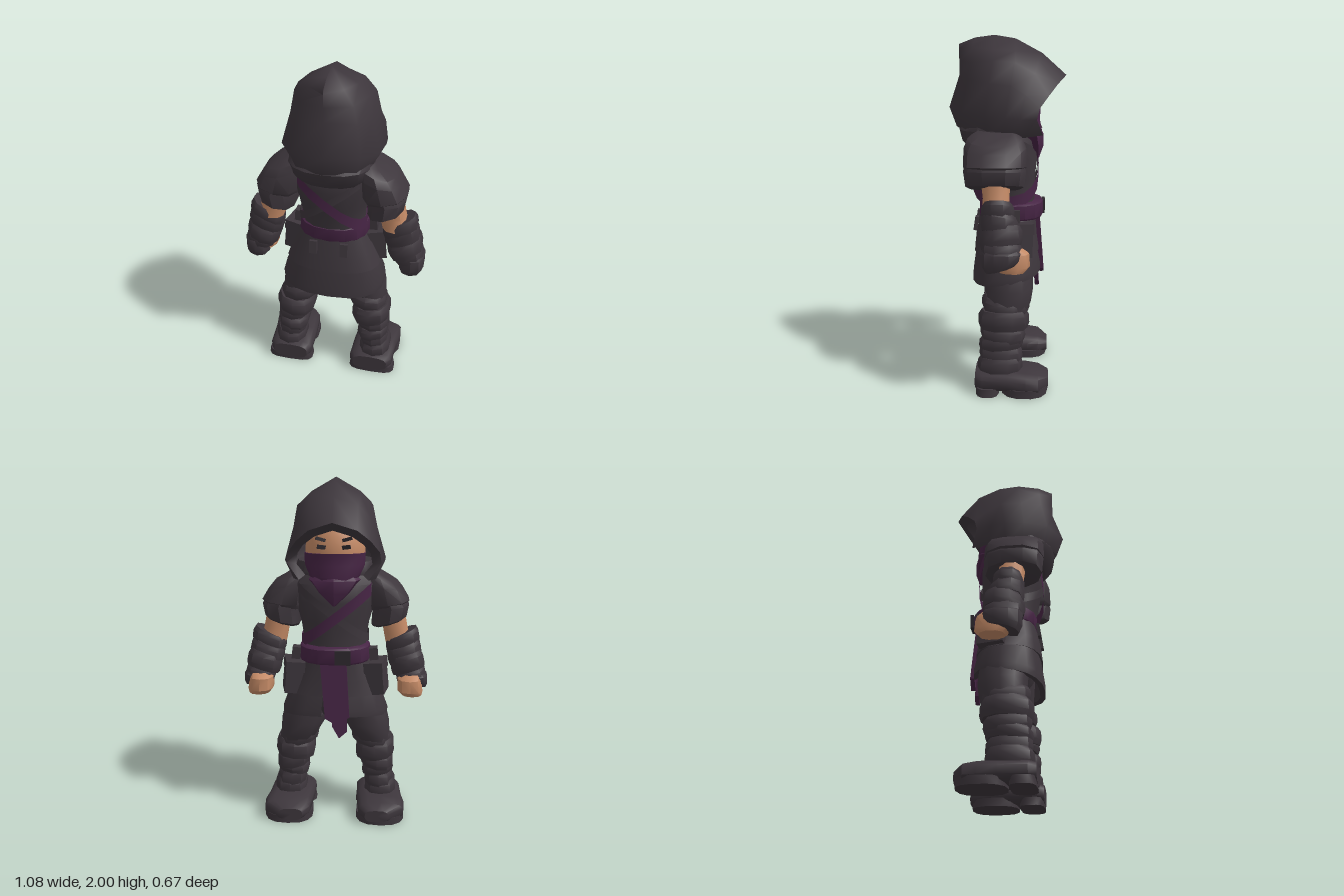
import * as THREE from 'three';
import { toCreasedNormals } from 'three/addons/utils/BufferGeometryUtils.js';

const mat = (name, color) => {
  const m = new THREE.MeshStandardMaterial({ color, side: THREE.DoubleSide });
  m.name = name;
  return m;
};

// Surface through rows of points, given as [x, y, z]
function grid(rows) {
  const n = rows[0].length, idx = [];
  for (let i = 0; i < rows.length - 1; i++)
    for (let j = 0; j < n - 1; j++) {
      const a = i * n + j, b = a + n;
      idx.push(a, b, a + 1, a + 1, b, b + 1);
    }
  const g = new THREE.BufferGeometry();
  g.setAttribute('position', new THREE.Float32BufferAttribute(rows.flat(2), 3));
  g.setIndex(idx);
  return g;
}

// Rings [x, y, z, rx, rz, tiltX, tiltZ] from bottom to top; gap leaves the front (-z) open
function loft(rings, { n = 12, e = 0.85, gap = 0, caps = true } = {}) {
  const pw = v => Math.sign(v) * Math.abs(v) ** e;
  const row = ([x, y, z, rx, rz, tx = 0, tz = 0], k = 1) =>
    Array.from({ length: n + 1 }, (_, j) => {
      const a = -Math.PI / 2 + gap + (j / n) * (2 * Math.PI - 2 * gap);
      const c = pw(Math.cos(a)) * k, s = pw(Math.sin(a)) * k;
      return [x + rx * c, y + tx * c + tz * s, z + rz * s];
    });
  const rows = rings.map(r => row(r));
  if (caps) {
    rows.unshift(row(rings[0], 0));
    rows.push(row(rings[rings.length - 1], 0));
  }
  return grid(rows);
}

// One bulging turn of cloth; dx shifts its top sideways
const wrap = (y0, y1, x, z, rx, rz, tx = 0, tz = 0, dx = 0) => loft([
  [x, y0, z, rx * 0.93, rz * 0.93, tx, tz],
  [x + dx * 0.3, y0 + (y1 - y0) * 0.3, z, rx, rz, tx, tz],
  [x + dx * 0.75, y0 + (y1 - y0) * 0.75, z, rx * 0.98, rz * 0.98, tx, tz],
  [x + dx, y1, z, rx * 0.86, rz * 0.86, tx, tz],
], { n: 10 });

const box = (w, h, d, x, y, z, rx = 0, ry = 0, rz = 0) =>
  new THREE.BoxGeometry(w, h, d).rotateX(rx).rotateY(ry).rotateZ(rz).translate(x, y, z);

// Hanging cloth strip whose top leans back towards the body
const strip = (pts, z, depth) => new THREE.ExtrudeGeometry(
  new THREE.Shape(pts.map(p => new THREE.Vector2(...p))), { depth, bevelEnabled: false }).rotateX(0.08).translate(0, 0, z);

export function createModel() {
  const model = new THREE.Group();
  const cloth = mat('charcoal cloth', 0x3d363c);
  const purple = mat('dark purple cloth', 0x472545);
  const skin = mat('skin', 0xc48a66);
  const dark = mat('dark leather', 0x2e292e);

  const add = (name, geo, m, crease = 0.75) => {
    const mesh = new THREE.Mesh(toCreasedNormals(geo, crease), m);
    mesh.name = name;
    model.add(mesh);
  };
  const both = (name, geo, m, crease) => {
    const other = geo.clone().scale(-1, 1, 1);
    other.index.array.reverse();
    add(name + 'Left', geo, m, crease);
    add(name + 'Right', other, m, crease);
  };

  // Hood: arches from the inner rim over the crown to the back seam
  const arches = [
    [[0, 1.735, -.28], [.1, 1.7, -.24], [.165, 1.65, -.2], [.2, 1.6, -.16], [.21, 1.54, -.14], [.16, 1.48, -.15]],
    [[0, 1.78, -.335], [.13, 1.735, -.285], [.2, 1.675, -.235], [.25, 1.61, -.185], [.26, 1.55, -.17], [.19, 1.46, -.205]],
    [[0, 1.9, -.2], [.13, 1.86, -.18], [.2, 1.79, -.16], [.24, 1.68, -.11], [.28, 1.55, -.08], [.23, 1.45, -.1]],
    [[0, 1.98, -.05], [.14, 1.91, -.05], [.21, 1.85, -.05], [.235, 1.73, -.03], [.285, 1.56, 0], [.23, 1.45, 0]],
    [[0, 2, .07], [.14, 1.92, .07], [.2, 1.86, .07], [.22, 1.74, .09], [.27, 1.56, .11], [.22, 1.46, .1]],
    [[0, 1.985, .18], [.09, 1.93, .19], [.14, 1.85, .2], [.16, 1.76, .21], [.19, 1.58, .245], [.16, 1.47, .22]],
    [[0, 1.95, .27], [0, 1.93, .27], [0, 1.86, .27], [0, 1.78, .27], [0, 1.6, .33], [0, 1.49, .29]],
  ];
  const arch = a => [...a.slice(1).reverse().map(([x, y, z]) => [-x, y, z]), ...a];
  add('hood', grid(arches.map(arch).reverse()), cloth, 1.45);
  add('cowl', loft([[0, 1.37, .06, .19, .155], [0, 1.42, .07, .225, .19], [0, 1.48, .07, .24, .205],
    [0, 1.54, .06, .22, .17]], { n: 16 }), cloth);

  // Face, mask and pointed scarf
  add('head', new THREE.SphereGeometry(1, 16, 12).scale(.17, .22, .155).translate(0, 1.6, -.03), skin, 1.2);
  add('mask', loft([[0, 1.4, -.08, .09, .11], [0, 1.47, -.05, .15, .15], [0, 1.53, -.03, .172, .158],
    [0, 1.59, -.03, .175, .162, 0, -.01]], { n: 14 }), purple);
  add('scarf', loft([[0, 1.31, -.165, .01, .02], [0, 1.38, -.1, .1, .11], [0, 1.45, -.06, .165, .15],
    [0, 1.48, -.06, .13, .13]], { n: 8 }), purple);
  both('eye', box(.055, .022, .008, .065, 1.635, -.176, 0, .3, .15), dark);
  both('brow', box(.075, .018, .008, .065, 1.675, -.17, .2, .3, .3), dark);

  // Torso with crossing straps
  add('torso', loft([[0, .93, -.01, .18, .16], [0, 1.1, 0, .183, .16], [0, 1.2, .01, .2, .175],
    [0, 1.32, .015, .235, .185], [0, 1.42, .02, .255, .175], [0, 1.5, .02, .2, .13]], { n: 14 }), cloth);
  const strap = (x, y, tilt, h, rz) => loft([[x, y - h, .01, .212, rz, tilt], [x, y + h, .01, .212, rz, tilt]],
    { n: 18, e: 0.8, caps: false });
  add('chestStrap', strap(-.015, 1.245, -.165, .036, .194), purple);
  add('crossStrap', strap(.015, 1.26, .16, .026, .188), cloth);

  // Belt, buckle, pouches and hanging sash
  add('belt', loft([[0, .975, -.025, .2, .18], [0, .985, -.025, .208, .187], [0, 1.06, -.025, .203, .185],
    [0, 1.07, -.025, .19, .175]], { n: 16 }), purple);
  add('beltBuckle', box(.09, .08, .02, -.05, 1.02, -.212), dark);
  both('pouch', box(.1, .17, .15, .245, .87, -.07, 0, .2, .1), cloth);
  both('pouchFlap', box(.11, .06, .165, .237, .945, -.07, 0, .2, .1), cloth);
  both('pouchLoop', box(.05, .09, .06, .225, 1, -.05, 0, 0, .1), cloth);
  both('backLoop', box(.045, .08, .02, .09, .94, .175, -.15), cloth);
  add('sash', strip([[-.07, 1], [-.09, .67], [-.02, .62], [.05, .66], [.08, 1]], -.27, .025), purple);
  add('sashTail', strip([[-.08, .8], [-.075, .57], [-.03, .53], [.01, .6], [.03, .8]], -.235, .025), purple);

  // Coat skirt in two tiers, open at the front
  const skirt = { n: 18, e: 0.8, caps: false, gap: 0.16 };
  add('upperSkirt', loft([[0, .785, 0, .27, .18], [0, .78, 0, .283, .19], [0, .87, 0, .245, .18],
    [0, .99, -.01, .19, .165]], skirt), cloth);
  add('lowerSkirt', loft([[0, .64, 0, .27, .17, 0, -.035], [0, .632, 0, .31, .2, 0, -.03],
    [0, .67, 0, .312, .2, 0, -.025], [0, .81, 0, .262, .176]], skirt), cloth);
  add('hips', loft([[0, .62, 0, .08, .1], [0, .7, 0, .22, .14], [0, .95, 0, .18, .14]]), cloth);

  // Arms: layered sleeve, bare elbow, wrapped forearm, half-gloved fist
  both('sleeve', loft([[.305, 1.18, .055, .09, .135, .025], [.31, 1.195, .055, .105, .16, .025],
    [.32, 1.28, .055, .108, .17, .01], [.295, 1.35, .055, .1, .155]], { n: 10 }), cloth);
  both('shoulderPad', loft([[.3, 1.28, .055, .12, .155, .02], [.3, 1.3, .055, .13, .172, .015],
    [.275, 1.4, .055, .118, .17, -.025], [.255, 1.45, .055, .105, .15, -.035], [.23, 1.485, .055, .06, .1, -.03]],
  { n: 10 }), cloth);
  both('elbow', loft([[.37, 1.06, .045, .08, .075], [.35, 1.14, .045, .075, .072], [.33, 1.24, .05, .075, .08]],
    { n: 10 }), skin);
  both('forearmWrapA', wrap(1.03, 1.115, .398, .035, .1, .09, .04, 0, -.012), cloth);
  both('forearmWrapB', wrap(.96, 1.06, .413, .025, .1, .1, .035, .015, -.02), cloth);
  both('forearmWrapC', wrap(.89, .99, .432, .015, .1, .115, .03, -.015, -.02), cloth);
  both('cuff', wrap(.83, .92, .455, .01, .088, .11, .02, .01, -.02), cloth);
  both('fist', loft([[.45, .762, -.045, .06, .07], [.44, .79, -.04, .075, .1], [.435, .86, -.035, .072, .1],
    [.45, .9, -.01, .05, .07]], { n: 10 }), skin);
  both('glove', loft([[.465, .785, .015, .07, .085, 0, -.025], [.47, .815, .012, .075, .105, 0, -.02],
    [.47, .87, .01, .073, .108], [.45, .91, .01, .06, .08]], { n: 10 }), cloth);

  // Legs: thigh and wrapped shin
  both('thigh', loft([[.235, .44, -.005, .09, .11], [.215, .51, -.015, .112, .13], [.19, .59, -.02, .132, .138],
    [.16, .72, -.01, .13, .14], [.12, .88, 0, .09, .13]]), cloth);
  [ // y0, y1, x, z, rx, rz, tiltX, tiltZ
    [.1, .2, .275, .03, .098, .13, .005, 0],
    [.17, .27, .265, .025, .09, .124, -.01, .01],
    [.24, .32, .258, .025, .098, .127, .015, -.01],
    [.3, .39, .252, .015, .103, .13, -.015, .01],
    [.36, .47, .24, .01, .12, .147, .01, 0],
    [.46, .55, .215, 0, .12, .137, -.02, .01],
  ].forEach((w, i) => both('legWrap' + 'ABCDEF'[i], wrap(...w), cloth));

  // Boots: rings run from heel to toe, then are laid flat
  both('boot', loft([[.26, -.17, .072, .11, .052], [.262, -.13, .073, .135, .06], [.268, .02, .073, .138, .061],
    [.28, .12, .07, .142, .06], [.28, .19, .066, .135, .054], [.255, .247, .058, .07, .037]],
  { n: 14, e: 0.68 }).rotateX(-Math.PI / 2), cloth);
  both('bootHeel', loft([[.268, 0, .1, .145, .07], [.268, .045, .1, .138, .07]], { n: 14, e: 0.6 }), cloth);
  both('bootSole', loft([[.275, 0, -.11, .145, .135], [.275, .045, -.11, .145, .135]], { n: 14, e: 0.8 }), cloth);

  return model;
}
